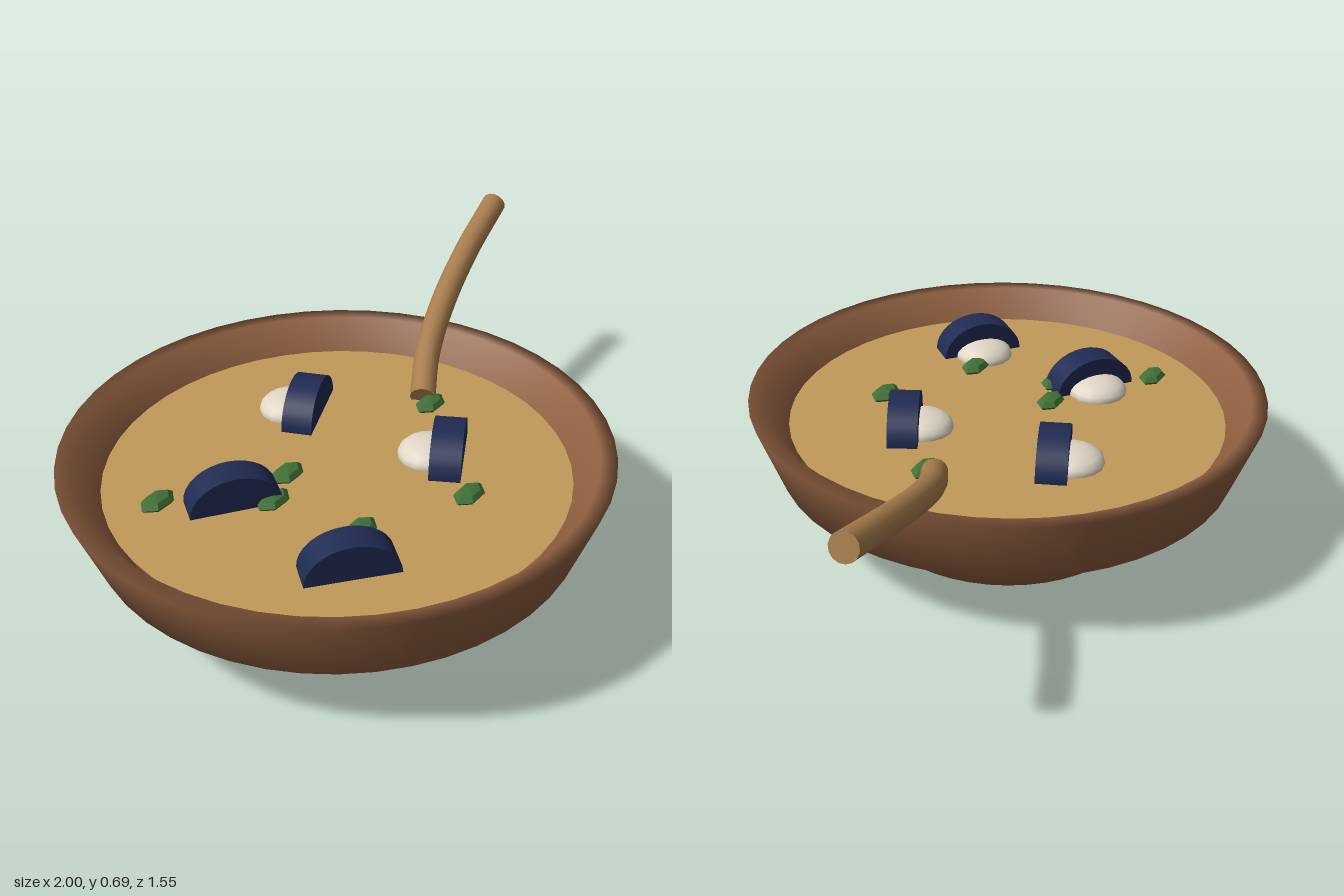
import * as THREE from 'three';

const mat = (name, color, extra = {}) => Object.assign(new THREE.MeshStandardMaterial({ color, ...extra }), { name });

function addMesh(parent, name, geometry, material, x = 0, y = 0, z = 0) {
  const mesh = new THREE.Mesh(geometry, material);
  mesh.name = name;
  mesh.position.set(x, y, z);
  parent.add(mesh);
  return mesh;
}

export function createModel() {
  const clay = mat('clay brown', 0x8f5f40);
  const broth = mat('broth tan', 0xc29a5a);
  const shellBlue = mat('shell blue', 0x1f2b52);
  const meat = mat('cream', 0xe0d6c6);
  const leaf = mat('leaf green', 0x3f7036, { flatShading: true });
  const wood = mat('spoon wood', 0xa67c4c);

  const model = new THREE.Group();
  model.name = 'soupBowl';
  const bowlX = -0.225, soupY = 0.345;

  // Bowl wall: outside, rim and inside in one turned profile
  const profile = [
    [0, 0], [0.425, 0], [0.475, 0.05], [0.697, 0.22], [0.775, 0.432],
    [0.728, 0.432], [0.655, 0.33], [0.6, 0.22], [0, 0.1],
  ].map(([r, y]) => new THREE.Vector2(r, y));
  addMesh(model, 'bowl', new THREE.LatheGeometry(profile, 48), clay, bowlX);

  // Soup surface
  const soup = new THREE.CylinderGeometry(0.66, 0.64, 0.03, 48);
  addMesh(model, 'soup', soup, broth, bowlX, soupY - 0.015);

  // Half-round shells, each with a flattened morsel peeking out behind
  const shellGeo = new THREE.CylinderGeometry(0.13, 0.13, 0.09, 16, 1, false, Math.PI / 2, Math.PI);
  shellGeo.rotateX(Math.PI / 2).scale(1, 0.8, 1);
  const meatGeo = new THREE.SphereGeometry(0.092, 16, 10).scale(1, 0.5, 1);
  const shells = [
    [-0.515, -0.135, -0.62], [-0.035, -0.26, 0.41],
    [0.013, 0.215, 0.5], [-0.56, 0.295, -0.69],
  ];
  for (const [x, z, turn] of shells) {
    const mussel = new THREE.Group();
    mussel.name = 'mussel';
    mussel.position.set(x, soupY, z);
    mussel.rotation.y = turn;
    addMesh(mussel, 'shell', shellGeo, shellBlue);
    addMesh(mussel, 'mussel meat', meatGeo, meat, 0, 0.005, -0.055);
    model.add(mussel);
  }

  // Herb leaves floating on the soup
  const leafGeo = new THREE.SphereGeometry(1, 6, 4).scale(0.06, 0.02, 0.038);
  const leaves = [
    [-0.645, -0.295], [-0.335, -0.093], [-0.455, -0.045],
    [0.2, 0.024], [-0.42, 0.225], [-0.12, 0.372],
  ];
  for (const [x, z] of leaves) addMesh(model, 'herb leaf', leafGeo, leaf, x, soupY + 0.01, z);

  // Curved spoon handle with closed ends
  const path = new THREE.CatmullRomCurve3([
    [0.21, 0.36, -0.01], [0.35, 0.42, -0.09], [0.53, 0.492, -0.158],
    [0.75, 0.573, -0.215], [0.985, 0.65, -0.258],
  ].map((p) => new THREE.Vector3(...p)));
  const handle = new THREE.Group();
  handle.name = 'spoonHandle';
  addMesh(handle, 'handle shaft', new THREE.TubeGeometry(path, 24, 0.039, 14), wood);
  for (const [t, sign] of [[0, -1], [1, 1]]) {
    const p = path.getPointAt(t);
    const cap = addMesh(handle, 'handle end', new THREE.CircleGeometry(0.039, 14), wood, p.x, p.y, p.z);
    cap.lookAt(p.clone().addScaledVector(path.getTangentAt(t), sign));
  }
  model.add(handle);

  return model;
}
